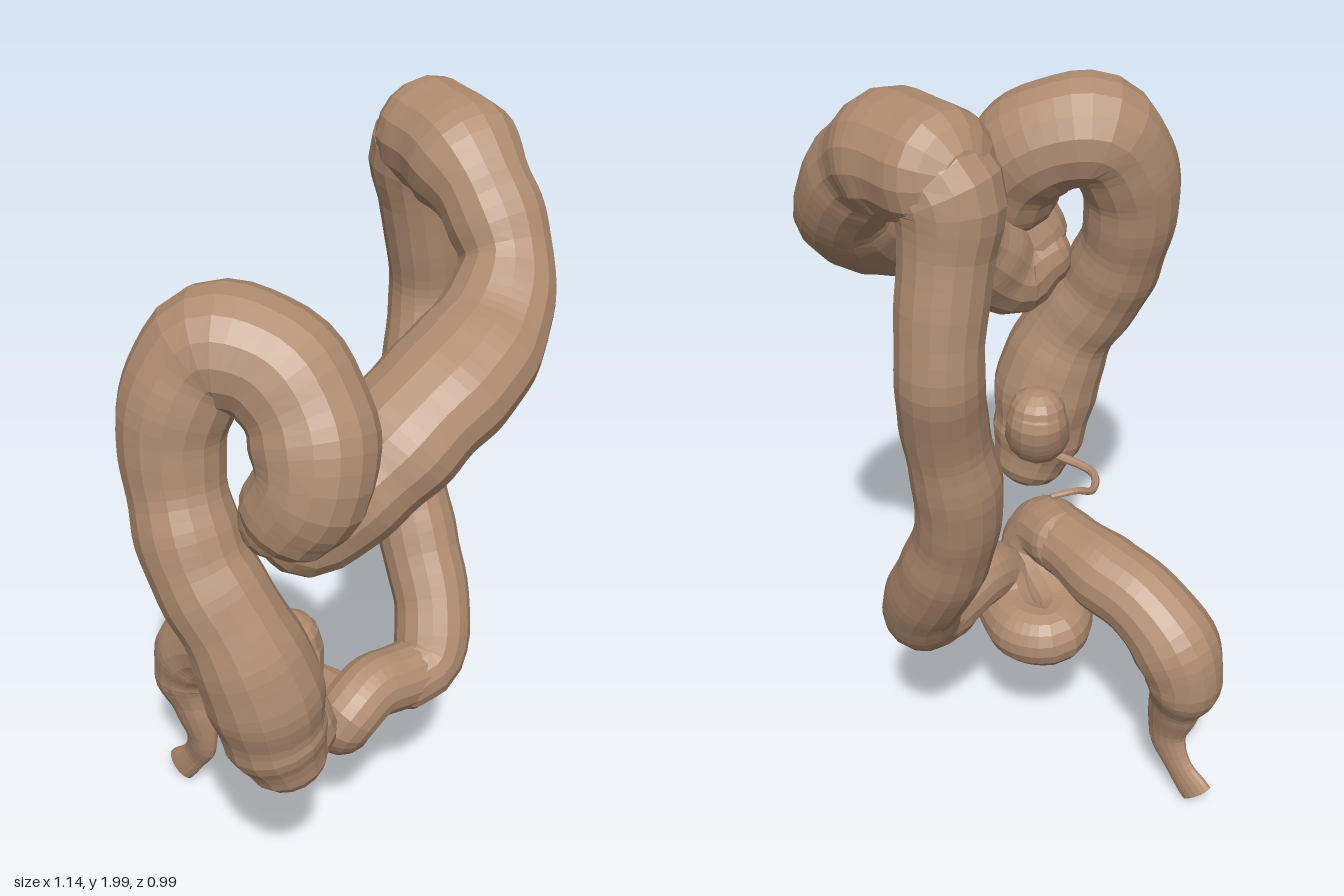
import * as THREE from 'three';

const { lerp, smoothstep } = THREE.MathUtils;
const flesh = new THREE.MeshStandardMaterial({ color: 0xb08c70, flatShading: true, side: THREE.DoubleSide });

// Tube through [x, y, z, radius] stations, with optional domed end and a squash rule for its section.
function organTube(name, stations, { rings = 40, sides = 16, capEnd = true, bumps = 0, squash = () => [1, 1, 1] } = {}) {
  const curve = new THREE.CatmullRomCurve3(stations.map(s => new THREE.Vector3(s[0], s[1], s[2])), false, 'centripetal');
  curve.arcLengthDivisions = 600;
  const frames = curve.computeFrenetFrames(rings, false);
  const length = curve.getLength();

  const radiusAt = u => {
    const f = curve.getUtoTmapping(u) * (stations.length - 1);
    const i = Math.min(Math.floor(f), stations.length - 2);
    const r = lerp(stations[i][3], stations[i + 1][3], smoothstep(f - i, 0, 1));
    return r * (1 + bumps * Math.sin(u * length * 42) + bumps * 0.6 * Math.sin(u * length * 23 + 1));
  };

  // Rows: ring index, scale of the radius, push along the tangent
  const dome = [0.02, 0.45, 0.78, 0.95];
  const rows = dome.map(s => [0, s, -Math.sqrt(1 - s * s)]);
  for (let i = 0; i <= rings; i++) rows.push([i, 1, 0]);
  if (capEnd) [...dome].reverse().forEach(s => rows.push([rings, s, Math.sqrt(1 - s * s)]));

  const pos = [], index = [];
  rows.forEach(([i, scale, push]) => {
    const c = curve.getPointAt(i / rings);
    const r = radiusAt(i / rings);
    c.addScaledVector(frames.tangents[i], push * r * 0.8);
    const [sx, sy, sz] = squash(c);
    for (let j = 0; j < sides; j++) {
      const a = (j / sides) * Math.PI * 2;
      const d = new THREE.Vector3()
        .addScaledVector(frames.normals[i], Math.cos(a) * r * scale)
        .addScaledVector(frames.binormals[i], Math.sin(a) * r * scale);
      pos.push(c.x + d.x * sx, c.y + d.y * sy, c.z + d.z * sz);
    }
  });
  for (let i = 0; i < rows.length - 1; i++) {
    for (let j = 0; j < sides; j++) {
      const a = i * sides + j, b = i * sides + (j + 1) % sides, c = a + sides, d = b + sides;
      index.push(a, b, c, b, d, c);
    }
  }
  const geo = new THREE.BufferGeometry();
  geo.setAttribute('position', new THREE.Float32BufferAttribute(pos, 3));
  geo.setIndex(index);
  geo.computeVertexNormals();
  const mesh = new THREE.Mesh(geo, flesh);
  mesh.name = name;
  return mesh;
}

export function createModel() {
  const group = new THREE.Group();
  group.name = 'largeIntestine';

  // Caecum, ascending colon and the bend beneath the liver
  group.add(organTube('ascendingColon', [
    [-0.345, 0.675, 0.24, 0.098], [-0.368, 0.76, 0.225, 0.125], [-0.395, 0.9, 0.215, 0.138],
    [-0.425, 1.04, 0.175, 0.122], [-0.45, 1.2, 0.08, 0.115], [-0.435, 1.38, 0.01, 0.112],
    [-0.415, 1.52, 0.0, 0.122], [-0.35, 1.645, 0.045, 0.134], [-0.285, 1.625, 0.16, 0.136],
    [-0.275, 1.53, 0.25, 0.136], [-0.305, 1.41, 0.29, 0.13], [-0.325, 1.33, 0.25, 0.118],
  ], { rings: 60, bumps: 0.02 }));

  // Transverse colon, broad from front to back, rising to the bend by the spleen
  group.add(organTube('transverseColon', [
    [-0.335, 1.3, 0.2, 0.09], [-0.265, 1.275, 0.245, 0.122], [-0.16, 1.365, 0.295, 0.132],
    [-0.03, 1.465, 0.33, 0.14], [0.1, 1.525, 0.338, 0.138], [0.22, 1.58, 0.32, 0.124],
    [0.325, 1.68, 0.275, 0.103], [0.355, 1.785, 0.195, 0.112], [0.39, 1.855, 0.08, 0.132],
    [0.425, 1.865, -0.04, 0.128],
  ], {
    rings: 50, bumps: 0.02,
    squash: p => [1, lerp(1, 0.88, smoothstep(p.z, 0.25, 0.32)), lerp(1, 1.1, smoothstep(p.z, 0.25, 0.32))],
  }));

  // Descending colon
  group.add(organTube('descendingColon', [
    [0.435, 1.89, 0.0, 0.1], [0.425, 1.82, -0.065, 0.118], [0.442, 1.7, -0.07, 0.1],
    [0.47, 1.56, -0.07, 0.095], [0.482, 1.44, -0.072, 0.094], [0.44, 1.28, -0.05, 0.095],
    [0.4, 1.1, -0.052, 0.1], [0.38, 0.97, -0.028, 0.096], [0.357, 0.82, 0.035, 0.1],
    [0.318, 0.68, 0.118, 0.097], [0.25, 0.565, 0.162, 0.092], [0.17, 0.545, 0.155, 0.084],
  ], { rings: 50, bumps: 0.012 }));

  // Sigmoid colon, looped back under itself
  group.add(organTube('sigmoidColon', [
    [0.22, 0.55, 0.16, 0.085], [0.14, 0.56, 0.15, 0.083], [0.06, 0.57, 0.14, 0.082],
    [-0.02, 0.53, 0.135, 0.08], [0.0, 0.465, 0.09, 0.08], [0.062, 0.455, 0.0, 0.077],
    [0.042, 0.46, -0.075, 0.074], [-0.03, 0.465, -0.06, 0.076], [-0.1, 0.49, 0.03, 0.082],
    [-0.15, 0.55, 0.1, 0.09], [-0.155, 0.61, 0.07, 0.09], [-0.115, 0.63, 0.0, 0.085],
  ], { rings: 64 }));

  // Rectum, narrowing and flattening to an open end
  group.add(organTube('rectum', [
    [-0.15, 0.615, 0.05, 0.085], [-0.11, 0.625, -0.04, 0.088], [-0.08, 0.605, -0.16, 0.102],
    [-0.068, 0.58, -0.26, 0.1], [-0.055, 0.5, -0.365, 0.11], [-0.055, 0.4, -0.4, 0.098],
    [-0.06, 0.29, -0.375, 0.07], [-0.06, 0.18, -0.36, 0.05], [-0.055, 0.1, -0.4, 0.04],
    [-0.055, 0.035, -0.455, 0.048],
  ], { rings: 44, capEnd: false, bumps: 0.01, squash: p => [lerp(0.5, 1, smoothstep(p.y, 0.1, 0.42)), 1, 1] }));

  // Stump of the small bowel on the caecum's inner side
  group.add(organTube('ileumStump', [
    [-0.32, 0.79, 0.19, 0.08], [-0.265, 0.82, 0.165, 0.085], [-0.238, 0.87, 0.15, 0.08], [-0.24, 0.905, 0.15, 0.072],
  ], { rings: 12, sides: 14 }));

  // Appendix
  group.add(organTube('appendix', [
    [-0.3, 0.74, 0.14, 0.012], [-0.285, 0.735, 0.01, 0.011], [-0.21, 0.74, -0.035, 0.01],
    [-0.145, 0.772, -0.025, 0.009], [-0.09, 0.775, 0.01, 0.008],
  ], { rings: 28, sides: 8 }));

  // Stand on the ground, centred
  const box = new THREE.Box3().setFromObject(group);
  const mid = box.getCenter(new THREE.Vector3());
  group.children.forEach(m => m.geometry.translate(-mid.x, -box.min.y, -mid.z));
  return group;
}
